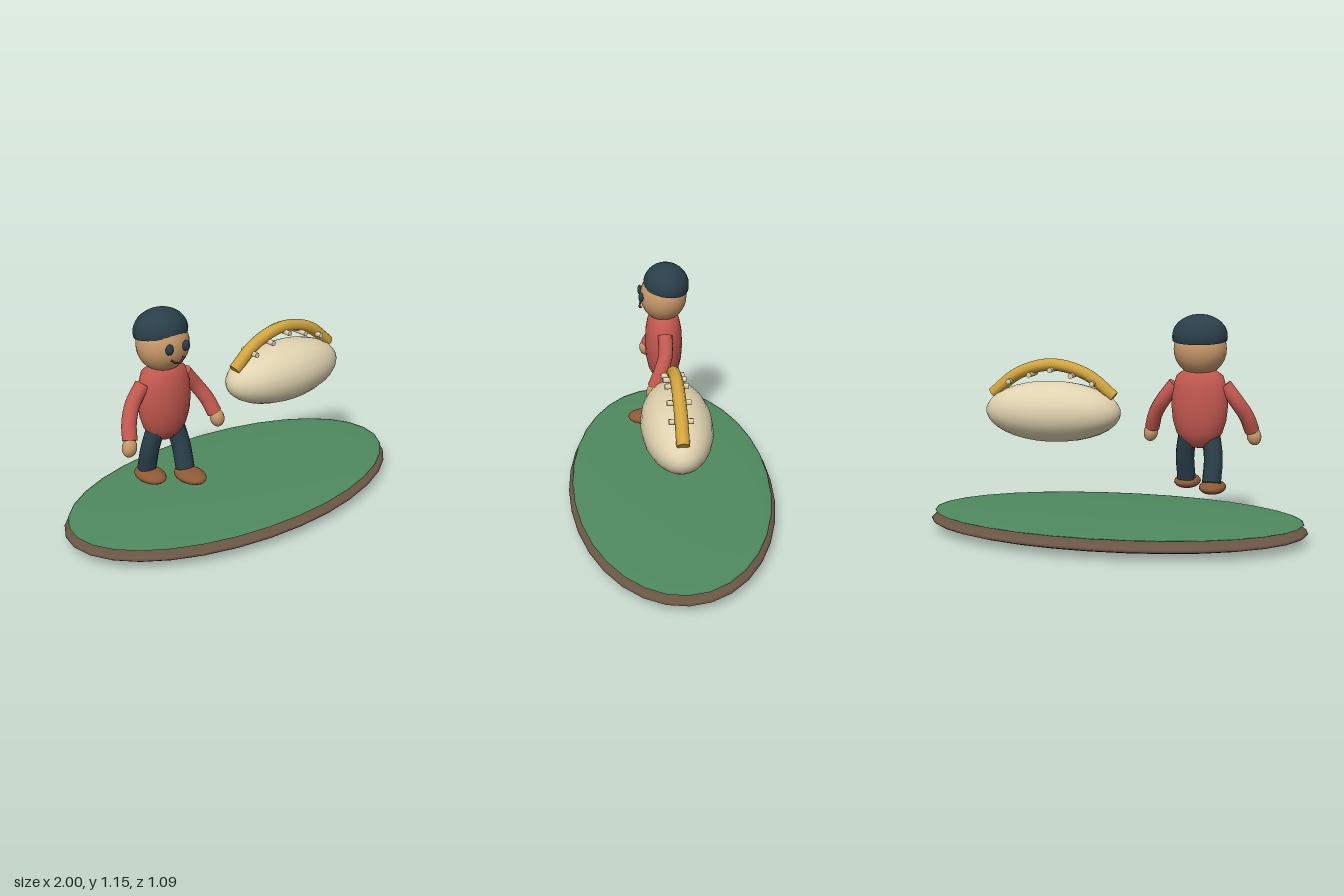
import * as THREE from 'three';

const mat = (color) => new THREE.MeshStandardMaterial({ color });
const V = (p) => new THREE.Vector3(...p);

export function createModel() {
  const model = new THREE.Group();
  const soil = mat(0x6b5644), grass = mat(0x4f8a5e), cream = mat(0xe0d3b0), gold = mat(0xd4a63f);
  const red = mat(0xc4594f), skin = mat(0xc9996a), navy = mat(0x2a3f4a), leather = mat(0x8f5a35);
  const lip = mat(0x6b3325);

  function add(parent, name, geometry, material, pos = [0, 0, 0]) {
    const mesh = new THREE.Mesh(geometry, material);
    mesh.name = name;
    mesh.position.set(...pos);
    parent.add(mesh);
    return mesh;
  }

  function ellipsoid(parent, name, material, pos, radii, w = 24, h = 16) {
    return add(parent, name, new THREE.SphereGeometry(1, w, h).scale(...radii), material, pos);
  }

  // Curved limb with flat discs closing both ends
  function limb(parent, name, material, points, r, sides = 12) {
    const group = new THREE.Group();
    group.name = name;
    const curve = new THREE.CatmullRomCurve3(points.map(V));
    add(group, name + 'Tube', new THREE.TubeGeometry(curve, 20, r, sides), material);
    for (const t of [0, 1]) {
      const p = curve.getPoint(t);
      const cap = add(group, name + 'End', new THREE.CircleGeometry(r, sides), material, p.toArray());
      cap.lookAt(p.clone().addScaledVector(curve.getTangent(t), t ? 1 : -1));
    }
    parent.add(group);
  }

  // Oval ground
  const ground = new THREE.Group();
  ground.name = 'ground';
  model.add(ground);
  ellipsoid(ground, 'soil', soil, [0, 0.058, 0], [1, 0.055, 0.545], 32, 20);
  ellipsoid(ground, 'grass', grass, [0, 0.104, 0], [0.98, 0.018, 0.525], 32, 20);

  // Walking figure, built around its own vertical axis
  const figure = new THREE.Group();
  figure.name = 'figure';
  figure.position.x = -0.441;
  model.add(figure);

  const profile = [[0, 0.475], [0.045, 0.482], [0.085, 0.51], [0.117, 0.555], [0.137, 0.62], [0.145, 0.7],
    [0.138, 0.78], [0.12, 0.845], [0.08, 0.875], [0, 0.885]].map((p) => new THREE.Vector2(...p));
  add(figure, 'torso', new THREE.LatheGeometry(profile, 24).scale(1, 1, 0.7), red);
  ellipsoid(figure, 'head', skin, [0, 0.98, 0], [0.134, 0.135, 0.124]);

  // Cap: dome tilted back, closed below
  const cap = new THREE.Group();
  cap.name = 'cap';
  cap.position.set(0, 1.045, -0.015);
  cap.rotation.x = -0.13;
  figure.add(cap);
  add(cap, 'capDome', new THREE.SphereGeometry(1, 24, 10, 0, Math.PI * 2, 0, Math.PI * 0.56)
    .scale(0.14, 0.11, 0.121), navy);
  add(cap, 'capUnderside', new THREE.CircleGeometry(0.98, 24).rotateX(Math.PI / 2)
    .scale(0.14, 1, 0.121), navy, [0, -0.0205, 0]);

  // Face
  const smile = new THREE.CatmullRomCurve3([[-0.038, 0.937, 0.116], [-0.02, 0.922, 0.124], [0, 0.917, 0.127],
    [0.02, 0.922, 0.124], [0.038, 0.937, 0.116]].map(V));
  add(figure, 'mouth', new THREE.TubeGeometry(smile, 16, 0.005, 8), lip);

  for (const s of [-1, 1]) {
    const side = s > 0 ? 'left' : 'right';
    ellipsoid(figure, side + 'Eye', navy, [s * 0.049, 0.993, 0.122], [0.022, 0.027, 0.013], 16, 12);
    limb(figure, side + 'Arm', red,
      [[s * 0.125, 0.8, 0], [s * 0.19, 0.715, 0.005], [s * 0.235, 0.64, 0.035], [s * 0.258, 0.565, 0.07]], 0.038);
    const hand = ellipsoid(figure, side + 'Hand', skin, [s * 0.268, 0.535, 0.08], [0.037, 0.048, 0.036], 16, 12);
    hand.rotation.z = s * 0.2;
    // The left leg steps forward, the right leg trails
    limb(figure, side + 'Leg', navy,
      [[s * 0.058, 0.55, -s * 0.005], [s * 0.077, 0.43, s * 0.025], [s * 0.075, 0.31, s * 0.06]], 0.048);
    ellipsoid(figure, side + 'Shoe', leather, [s * 0.076, 0.283, s > 0 ? 0.1 : -0.03], [0.068, 0.034, 0.103], 20, 12);
  }

  // Floating ball with an arched lace
  const ball = new THREE.Group();
  ball.name = 'ball';
  ball.position.x = 0.333;
  model.add(ball);
  add(ball, 'ballBody', new THREE.SphereGeometry(1, 20, 16).rotateZ(Math.PI / 2)
    .scale(0.362, 0.16, 0.177), cream, [0, 0.637, 0]);
  limb(ball, 'lace', gold, [[-0.328, 0.722, 0], [-0.185, 0.834, 0], [0, 0.882, 0], [0.185, 0.834, 0],
    [0.328, 0.722, 0]], 0.032, 8);
  const pegHeights = [0.857, 0.83, 0.793];
  for (let i = -2; i <= 2; i++) {
    add(ball, 'peg', new THREE.CylinderGeometry(0.014, 0.014, 0.116, 8).rotateX(Math.PI / 2), cream,
      [i * 0.112, pegHeights[Math.abs(i)], 0]);
  }

  return model;
}
